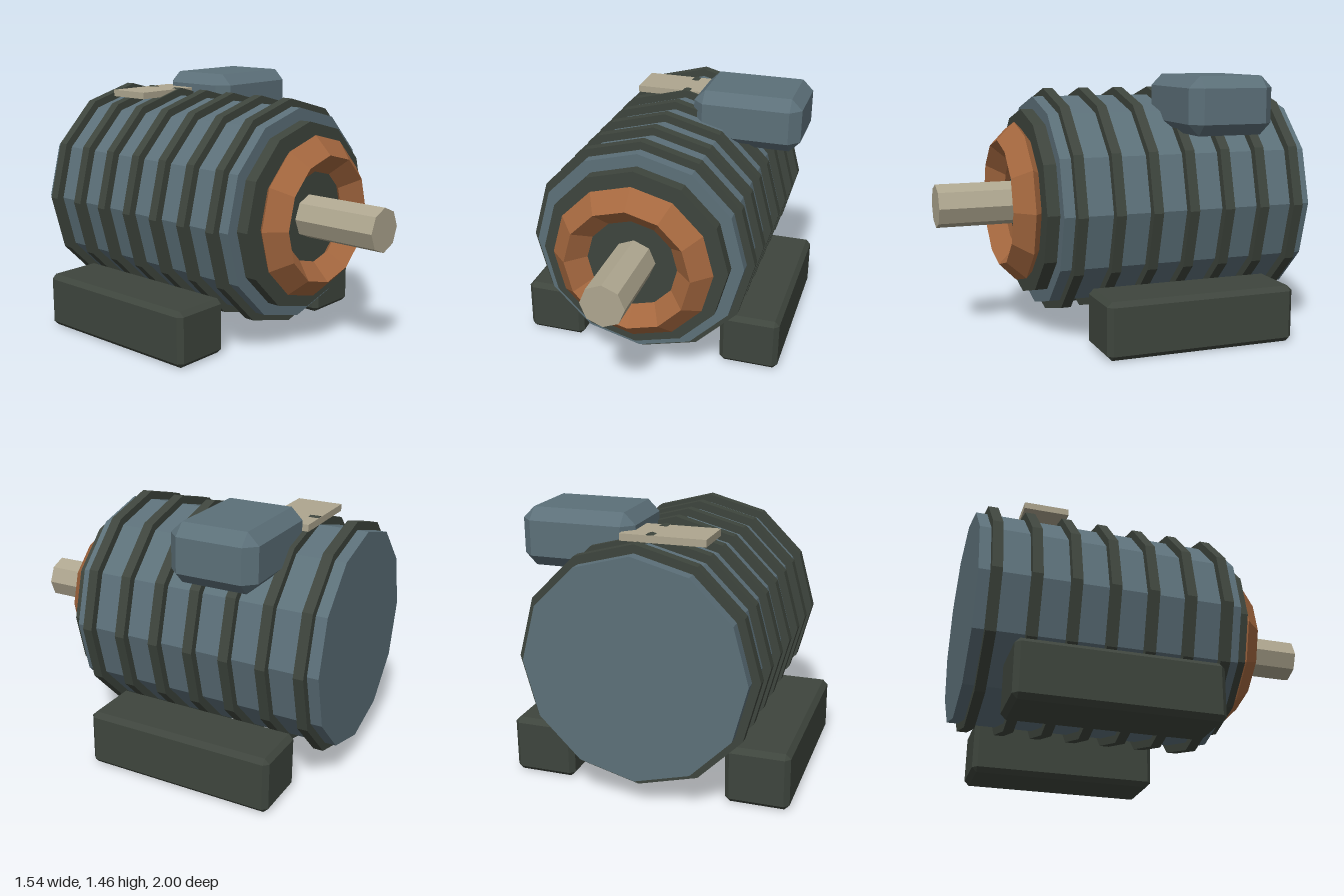
import * as THREE from 'three';
import { ConvexGeometry } from 'three/addons/geometries/ConvexGeometry.js';

const AXIS_Y = 0.74;

function material(name, color) {
  const m = new THREE.MeshStandardMaterial({ color, flatShading: true });
  m.name = name;
  return m;
}

// Box with every edge cut at 45 degrees, given by its min and max corners
function chamferBox(min, max, c) {
  const points = [];
  for (let i = 0; i < 8; i++) {
    const sign = [i & 1 ? 1 : -1, i & 2 ? 1 : -1, i & 4 ? 1 : -1];
    for (let flush = 0; flush < 3; flush++) {
      points.push(new THREE.Vector3(...sign.map((s, k) =>
        (s > 0 ? max[k] : min[k]) - (k === flush ? 0 : s * c))));
    }
  }
  return new ConvexGeometry(points);
}

// Faceted cylinder along z on the motor axis
function drum(radius, z0, z1, sides) {
  return new THREE.CylinderGeometry(radius, radius, z1 - z0, sides)
    .rotateX(Math.PI / 2)
    .translate(0, AXIS_Y, (z0 + z1) / 2);
}

export function createModel() {
  const motor = new THREE.Group();
  motor.name = 'electricMotor';

  const blue = material('slateBlue', 0x5c7079);
  const dark = material('darkIron', 0x3e453d);
  const copper = material('copper', 0xa5683f);
  const steel = material('paleSteel', 0xaea68f);

  const add = (name, geometry, mat, parent = motor) => {
    const mesh = new THREE.Mesh(geometry, mat);
    mesh.name = name;
    parent.add(mesh);
    return mesh;
  };

  // Housing and front end plate
  add('housing', drum(0.595, -1, 0.44, 12), blue);
  add('endPlate', drum(0.525, 0.43, 0.51, 12), dark);

  // Cooling fins
  const fins = new THREE.Group();
  fins.name = 'coolingFins';
  motor.add(fins);
  for (let i = 0; i < 7; i++) {
    const z = 0.35 - i * 0.21;
    add('fin', drum(0.64, z - 0.028, z + 0.028, 12), dark, fins);
  }

  // Copper winding ring and output shaft
  add('windingRing', new THREE.TorusGeometry(0.355, 0.1, 4, 12).translate(0, AXIS_Y, 0.548), copper);
  add('shaft', drum(0.122, 0.45, 1, 8), steel);

  // Mounting feet
  add('leftFoot', chamferBox([0.425, 0, -0.82], [0.77, 0.315, 0.26], 0.027), dark);
  add('rightFoot', chamferBox([-0.77, 0, -0.82], [-0.425, 0.315, 0.26], 0.027), dark);

  // Terminal box and name plate
  add('terminalBox', chamferBox([0.105, 1.145, -0.7], [0.735, 1.46, -0.215], 0.063), blue);
  add('namePlate', new THREE.BoxGeometry(0.46, 0.038, 0.255).translate(-0.07, 1.355, -0.603), steel);

  return motor;
}
